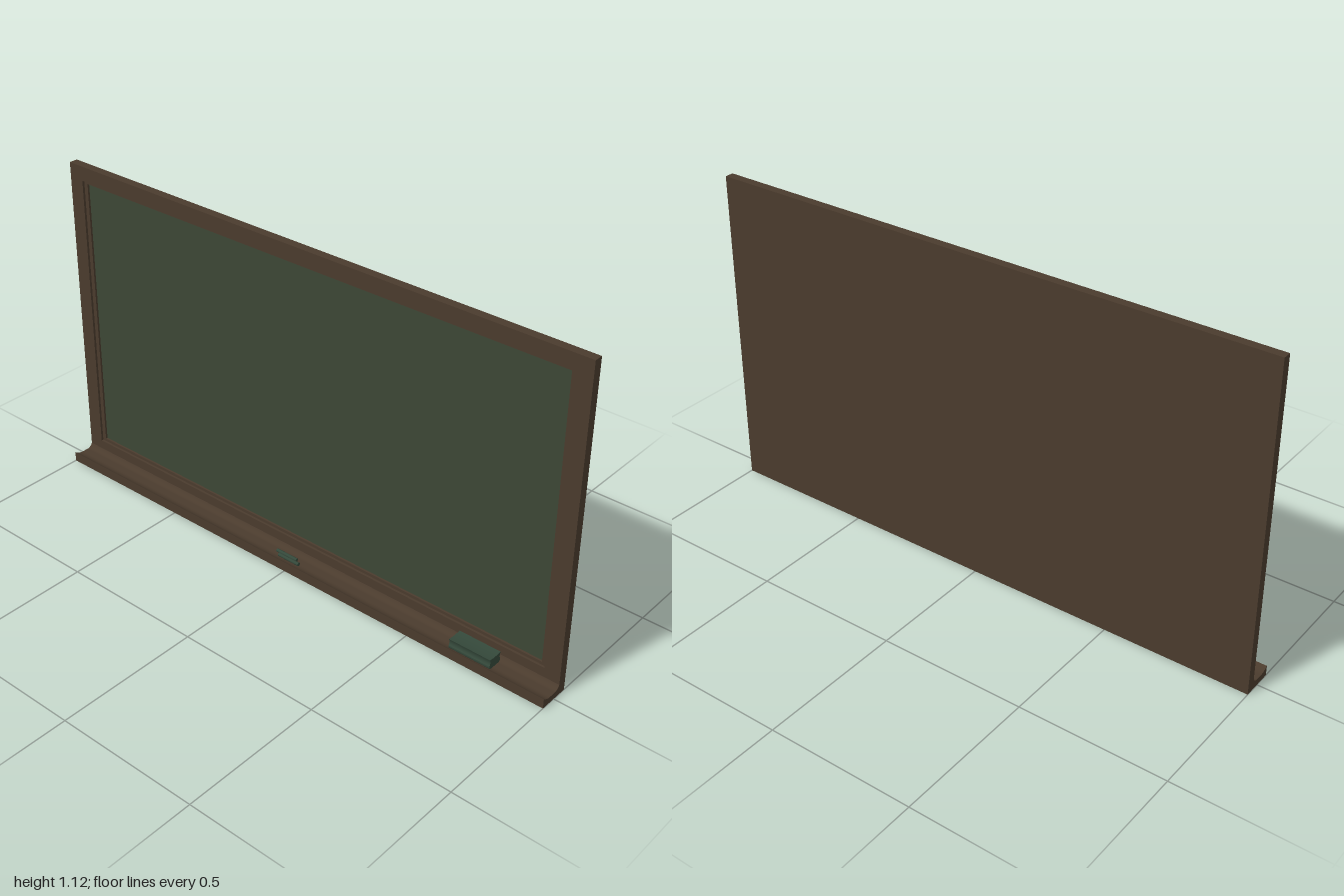
import * as THREE from 'three';

const mat = (name, color) => new THREE.MeshStandardMaterial({ name, color });

export function createModel() {
  const group = new THREE.Group();
  const wood = mat('dark wood', 0x4a3b2d);
  const slate = mat('green slate', 0x3c4735);
  const felt = mat('eraser green', 0x34483a);

  const add = (name, geometry, material, x = 0, y = 0, z = 0) => {
    const mesh = new THREE.Mesh(geometry, material);
    mesh.name = name;
    mesh.position.set(x, y, z);
    group.add(mesh);
    return mesh;
  };

  // Rectangular ring, extruded from z0 to z1; bounds are [half width, bottom, top]
  const rect = (path, [w, b, t]) =>
    path.moveTo(-w, b).lineTo(w, b).lineTo(w, t).lineTo(-w, t).closePath();
  const ring = (name, outer, inner, z0, z1) => {
    const shape = rect(new THREE.Shape(), outer);
    shape.holes.push(rect(new THREE.Path(), inner));
    add(name, new THREE.ExtrudeGeometry(shape, { depth: z1 - z0, bevelEnabled: false }), wood, 0, 0, z0);
  };

  // Cross-section given in (z, y), extruded along x and centred
  const alongX = (shape, length) =>
    new THREE.ExtrudeGeometry(shape, { depth: length, bevelEnabled: false, curveSegments: 8 })
      .translate(0, 0, -length / 2).rotateY(-Math.PI / 2).scale(1, 1, 1);

  // Frame, stepped inner trim, backing and writing surface
  ring('frame', [1, 0, 1.12], [0.945, 0.07, 1.07], -0.049, -0.025);
  ring('innerTrim', [0.945, 0.07, 1.07], [0.93, 0.08, 1.06], -0.049, -0.033);
  add('backPanel', new THREE.BoxGeometry(2, 1.12, 0.006), wood, 0, 0.56, -0.052);
  add('writingSurface', new THREE.BoxGeometry(1.86, 0.98, 0.009), slate, 0, 0.57, -0.0445);

  // Chalk tray with a scooped top
  const tray = new THREE.Shape();
  tray.moveTo(-0.025, 0).lineTo(0.055, 0).lineTo(0.055, 0.035)
    .quadraticCurveTo(0.038, 0.022, 0.022, 0.022)
    .lineTo(-0.004, 0.022)
    .quadraticCurveTo(-0.017, 0.023, -0.025, 0.037).closePath();
  add('chalkTray', alongX(tray, 2), wood);

  // Eraser: grooved grip above a rounded pad
  const eraser = new THREE.Shape();
  eraser.moveTo(-0.007, 0.024).lineTo(0.037, 0.024)
    .quadraticCurveTo(0.043, 0.026, 0.042, 0.036)
    .quadraticCurveTo(0.036, 0.046, 0.042, 0.06)
    .quadraticCurveTo(0.015, 0.056, -0.012, 0.06)
    .quadraticCurveTo(-0.006, 0.046, -0.012, 0.036)
    .quadraticCurveTo(-0.013, 0.026, -0.007, 0.024);
  add('eraser', alongX(eraser, 0.15), felt, 0.725);

  // Two sticks of chalk lying in the tray
  for (const [x, z] of [[-0.025, 0.012], [-0.005, 0.026]]) {
    add('chalk', new THREE.CylinderGeometry(0.006, 0.006, 0.085, 10).rotateZ(Math.PI / 2), felt, x, 0.028, z);
  }

  return group;
}
